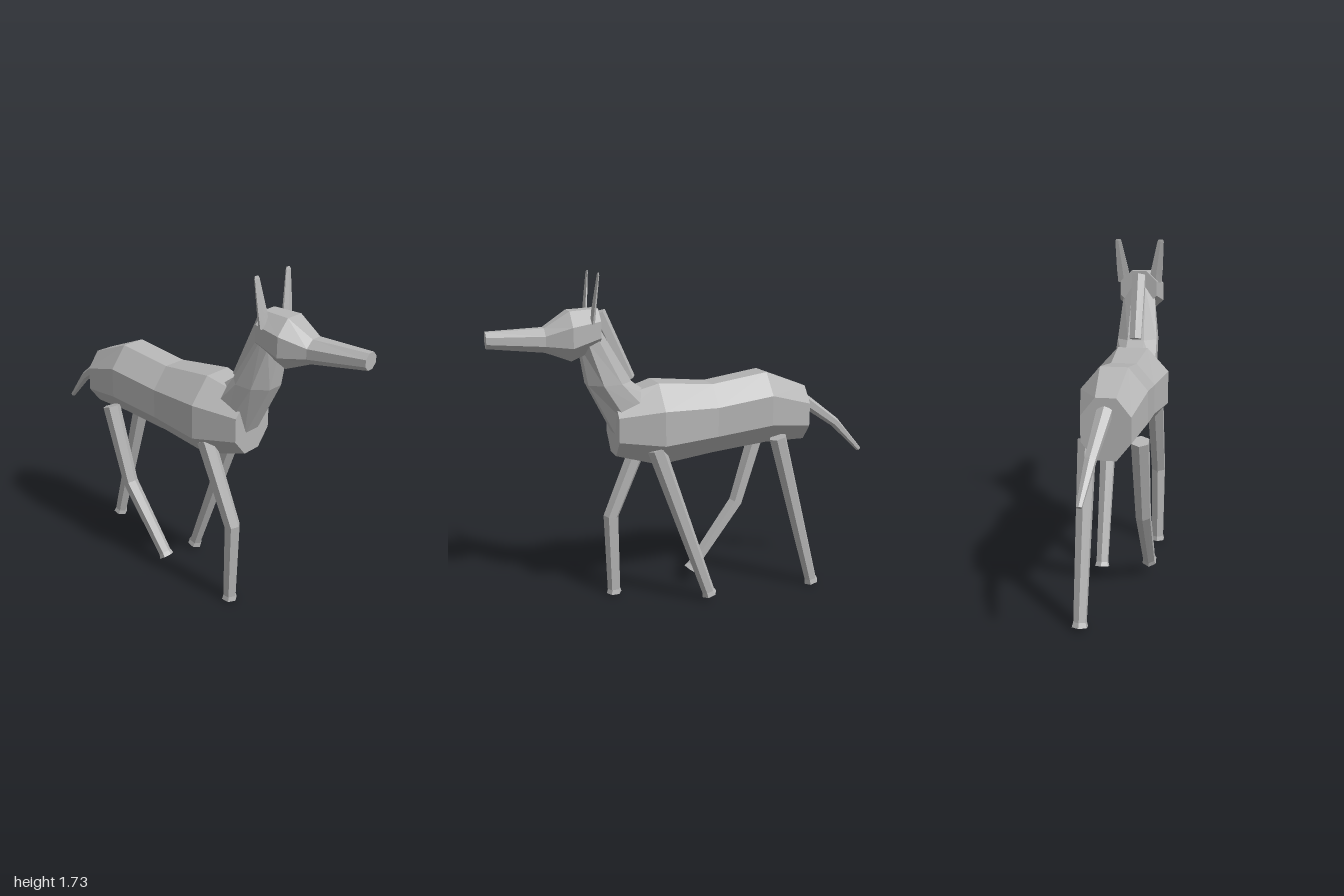
import * as THREE from 'three';

const coat = new THREE.MeshStandardMaterial({ color: 0xb4b4b4, flatShading: true });
coat.name = 'grey coat';

// Ring given by centre, half width along x and a half vector (ny, nz) across it.
// With "flat" the half sizes are measured to the sides instead of the corners.
function ring(sides, x, y, z, half, ny, nz, flat) {
  const phase = flat ? Math.PI / sides : Math.PI / 2;
  const k = flat ? 1 / Math.cos(Math.PI / sides) : 1;
  return Array.from({ length: sides }, (_, i) => {
    const a = phase + (i / sides) * Math.PI * 2;
    const c = Math.cos(a) * k, s = Math.sin(a) * k;
    return new THREE.Vector3(x + c * half, y + s * ny, z + s * nz);
  });
}

// Faceted closed skin through a list of rings, turned outward by its volume
function loft(name, rings) {
  const tris = [];
  const n = rings[0].length;
  for (let r = 0; r < rings.length - 1; r++) {
    const a = rings[r], b = rings[r + 1];
    for (let i = 0; i < n; i++) {
      const j = (i + 1) % n;
      tris.push([a[i], a[j], b[j]], [a[i], b[j], b[i]]);
    }
  }
  const first = rings[0], last = rings[rings.length - 1];
  for (let i = 1; i < n - 1; i++) {
    tris.push([first[0], first[i + 1], first[i]], [last[0], last[i], last[i + 1]]);
  }
  const mid = first[0];
  let volume = 0;
  for (const [a, b, c] of tris) {
    volume += a.clone().sub(mid).dot(b.clone().sub(mid).cross(c.clone().sub(mid)));
  }
  const points = tris.flatMap(([a, b, c]) => (volume < 0 ? [a, c, b] : [a, b, c]));
  const geometry = new THREE.BufferGeometry().setFromPoints(points);
  geometry.computeVertexNormals();
  const mesh = new THREE.Mesh(geometry, coat);
  mesh.name = name;
  return mesh;
}

// Upright octagonal rings: [x, z, bottom, top, halfWidth]
const barrel = (name, rows) => loft(name, rows.map(([x, z, lo, hi, w]) =>
  ring(8, x, (lo + hi) / 2, z, w, (hi - lo) / 2, 0, true)));

// Hexagonal limb along points [x, y, z, radius], rings square to the path
function limb(name, pts, widthScale = 1) {
  return loft(name, pts.map(([x, y, z, r], i) => {
    const p = pts[Math.max(i - 1, 0)], q = pts[Math.min(i + 1, pts.length - 1)];
    const dy = q[1] - p[1], dz = q[2] - p[2], l = Math.hypot(dy, dz);
    return ring(6, x, y, z, r * widthScale, (dz / l) * r, (-dy / l) * r, false);
  }));
}

// Leg with a small flared hoof at the end of the path
function leg(name, x, pts) {
  const group = new THREE.Group();
  group.name = name;
  const path = pts.map(([y, z, r]) => [x, y, z, r]);
  const end = new THREE.Vector3(...path[path.length - 1]);
  const dir = end.clone().sub(new THREE.Vector3(...path[path.length - 2])).normalize();
  const tip = end.clone().addScaledVector(dir, 0.025);
  group.add(limb('shank', path));
  group.add(limb('hoof', [[...end.toArray(), 0.034], [...tip.toArray(), 0.041]]));
  return group;
}

export function createModel() {
  const model = new THREE.Group();
  model.name = 'animal';

  model.add(barrel('body', [
    [0, 0.4, 0.82, 1.115, 0.13],
    [-0.003, 0.18, 0.76, 1.18, 0.192],
    [0, -0.11, 0.795, 1.155, 0.156],
    [0, -0.41, 0.825, 1.2, 0.16],
    [0, -0.645, 0.82, 1.11, 0.115],
  ]));

  // Neck rings: x, y, z, half width, half vector toward the throat
  model.add(loft('neck', [
    ring(8, 0, 1.0, 0.28, 0.115, -0.09, 0.11, true),
    ring(8, 0, 1.19, 0.42, 0.108, -0.005, 0.108, true),
    ring(8, 0.005, 1.42, 0.515, 0.085, -0.05, 0.045, true),
  ]));

  model.add(barrel('head', [
    [0.005, 0.47, 1.365, 1.555, 0.1],
    [0.006, 0.61, 1.31, 1.547, 0.124],
    [0.007, 0.73, 1.355, 1.47, 0.073],
    [0.015, 1.0, 1.385, 1.462, 0.043],
  ]));

  model.add(limb('mane', [
    [0.003, 1.53, 0.465, 0.042],
    [0, 1.2, 0.315, 0.036],
  ]));

  // Thin upright ears
  for (const side of [-1, 1]) {
    const ear = (y, z, x, w, t) => ring(6, 0.004 + side * x, y, z, w, 0, t, false);
    model.add(loft(side > 0 ? 'leftEar' : 'rightEar', [
      ear(1.49, 0.511, 0.088, 0.039, 0.01),
      ear(1.56, 0.503, 0.096, 0.037, 0.008),
      ear(1.715, 0.484, 0.117, 0.02, 0.004),
      ear(1.727, 0.482, 0.118, 0.014, 0.002),
    ]));
  }

  model.add(limb('tail', [
    [0.005, 1.045, -0.63, 0.037],
    [0.03, 0.89, -0.845, 0.026],
    [0.052, 0.73, -0.992, 0.013],
  ], 1.1));

  model.add(leg('leftFrontLeg', 0.125, [[0.86, 0.212, 0.047], [0.05, -0.07, 0.034]]));
  model.add(leg('leftHindLeg', 0.122, [[0.86, -0.458, 0.047], [0.03, -0.683, 0.034]]));
  model.add(leg('rightFrontLeg', -0.125, [[0.86, 0.212, 0.047], [0.44, 0.39, 0.041], [0.025, 0.383, 0.035]]));
  model.add(leg('rightHindLeg', -0.13, [[0.86, -0.458, 0.047], [0.44, -0.33, 0.041], [0.09, -0.075, 0.034]]));

  return model;
}
